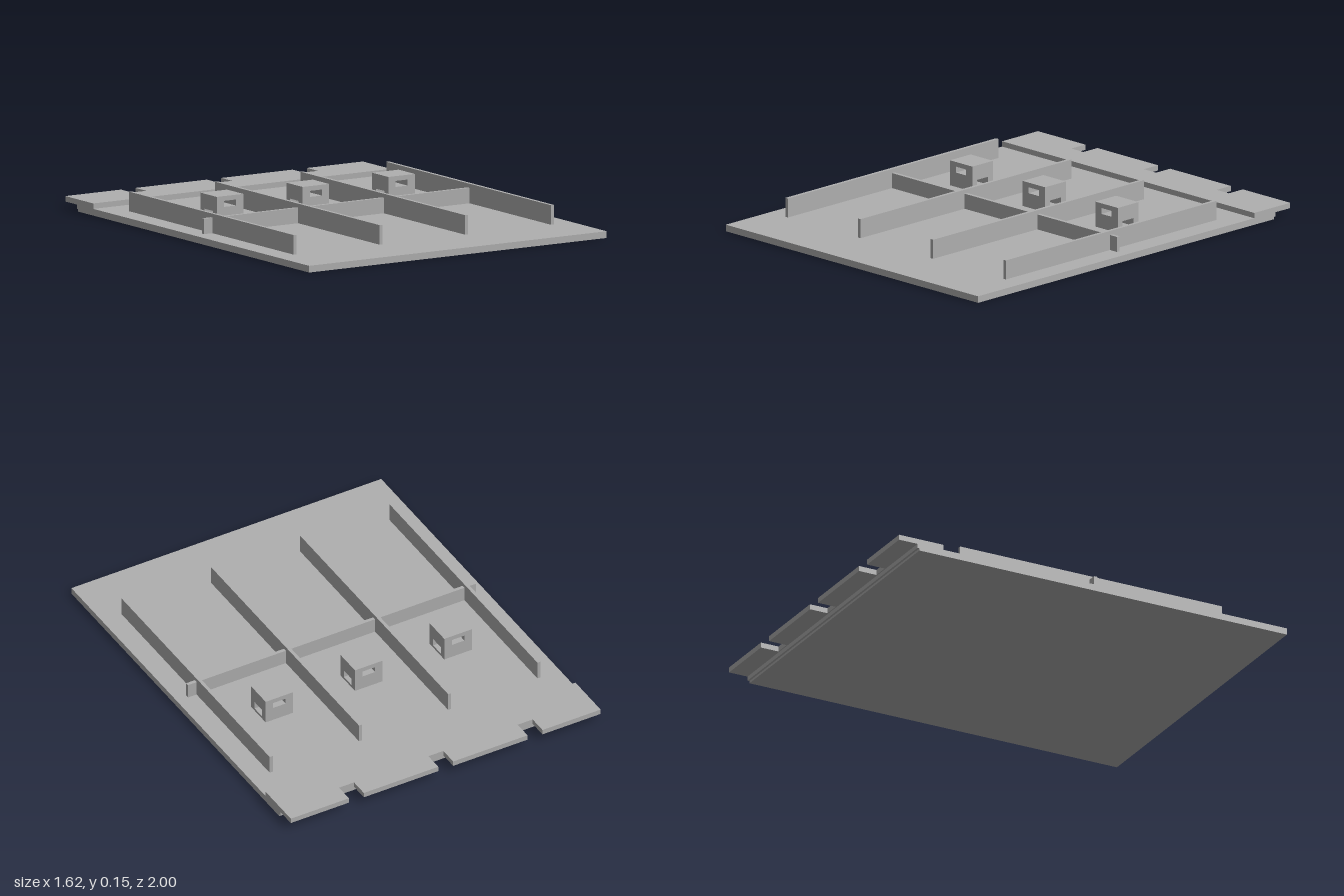
import * as THREE from 'three';

export function createModel() {
  const model = new THREE.Group();
  model.name = 'ribbedPanel';
  const grey = new THREE.MeshStandardMaterial({ color: 0xb0b0b0 });
  grey.name = 'plainGrey';

  const add = (name, geometry, parent = model) => {
    const mesh = new THREE.Mesh(geometry, grey);
    mesh.name = name;
    parent.add(mesh);
    return mesh;
  };
  // Box given by its limits on each axis
  const box = (name, x0, x1, y0, y1, z0, z1) =>
    add(name, new THREE.BoxGeometry(x1 - x0, y1 - y0, z1 - z0)
      .translate((x0 + x1) / 2, (y0 + y1) / 2, (z0 + z1) / 2));
  const outline = (pts, Type = THREE.Shape) => new Type(pts.map(p => new THREE.Vector2(...p)));
  const rect = (x0, x1, y0, y1) => [[x0, y0], [x1, y0], [x1, y1], [x0, y1]];
  const extrude = (shape, depth) => new THREE.ExtrudeGeometry(shape, { depth, bevelEnabled: false });

  const W = 0.81, bays = [-0.467, 0, 0.467];

  // Base plate with a small step under its rear edge
  const profile = outline([[-1, 0], [0.895, 0], [0.895, 0.011], [0.905, 0.011], [0.905, 0.031], [-1, 0.031]]);
  add('basePlate', extrude(profile, 2 * W).rotateY(Math.PI / 2).translate(-W, 0, 0));

  // Raised rear flange, notched once per bay
  const pts = [[-W, 0.77], [W, 0.77], [W, 1]];
  for (const x of [...bays].reverse()) {
    pts.push([x + 0.039, 1], [x + 0.039, 0.91], [x - 0.039, 0.91], [x - 0.039, 1]);
  }
  pts.push([-W, 1]);
  add('rearFlange', extrude(outline(pts), 0.025).rotateX(-Math.PI / 2).translate(0, 0.031, 0));

  // Long ribs and the cross rib
  for (const x of [-0.7, -0.233, 0.233, 0.7]) {
    box('longRib', x - 0.008, x + 0.008, 0.031, 0.121, -0.63, 0.72);
  }
  box('crossRib', -0.753, 0.753, 0.031, 0.102, 0.036, 0.053);

  // Blocks: a lower sideways passage and an upper lengthwise passage
  const h = 0.072, d = 0.0665;
  const lower = outline(rect(-d, d, 0.031, 0.09));
  lower.holes.push(outline(rect(-0.035, 0.035, 0.043, 0.08), THREE.Path));
  const upper = outline(rect(-h, h, 0.09, 0.149));
  upper.holes.push(outline(rect(-0.033, 0.033, 0.099, 0.127), THREE.Path));
  for (const x of bays) {
    const block = new THREE.Group();
    block.name = 'slottedBlock';
    block.position.set(x, 0, -0.232);
    add('blockLower', extrude(lower, 2 * h).rotateY(Math.PI / 2).translate(-h, 0, 0), block);
    add('blockUpper', extrude(upper, 2 * d).translate(0, 0, -d), block);
    model.add(block);
  }
  return model;
}
